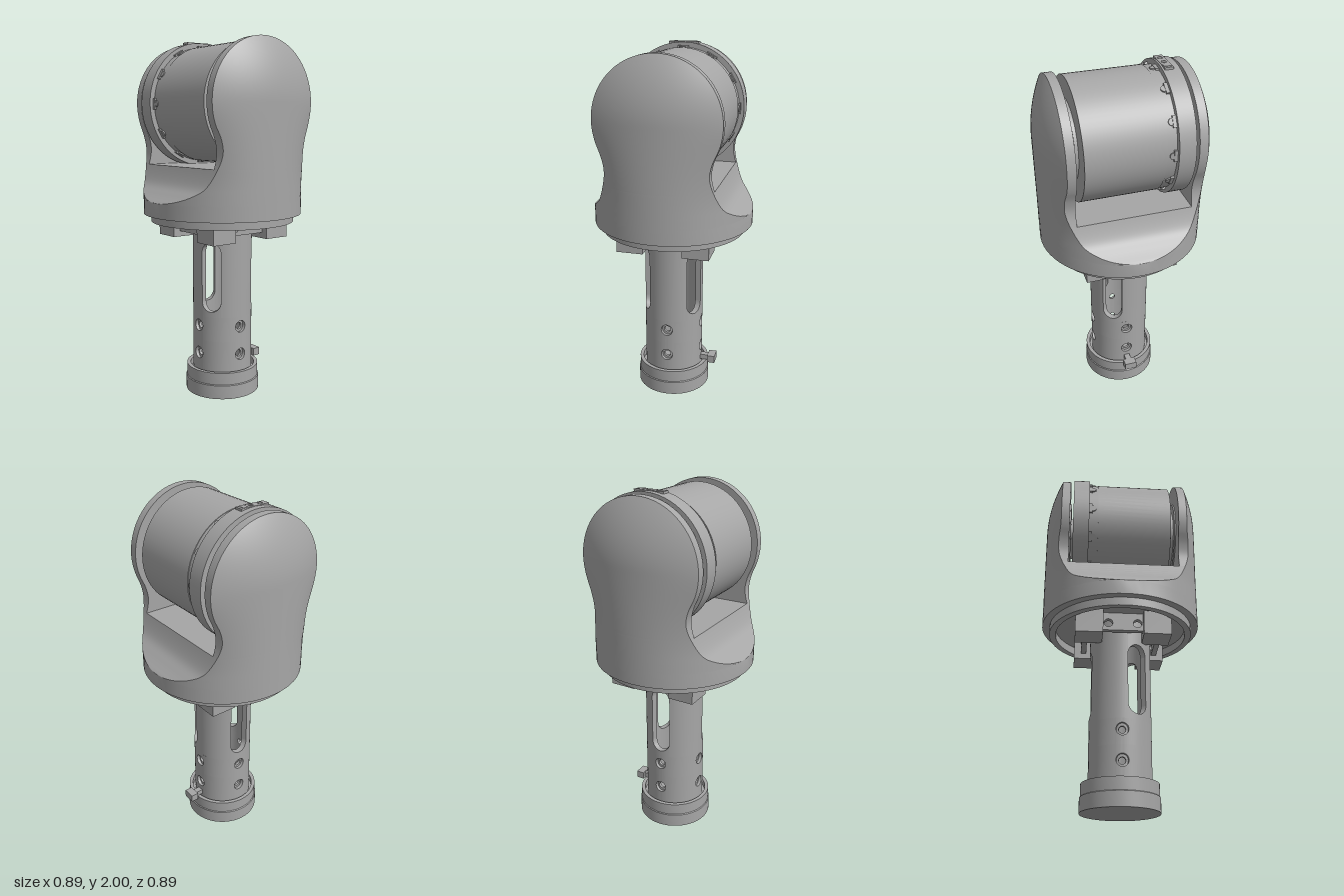
import * as THREE from 'three';
import { toCreasedNormals } from 'three/addons/utils/BufferGeometryUtils.js';

const grey = new THREE.MeshStandardMaterial({ color: 0xa6a6a6 });
grey.name = 'satin grey';

const V = (x, y, z) => new THREE.Vector3(x, y, z);
const HEAD_Y = 1.65, HEAD_R = 0.34, BODY_R = 0.447, GAP = 0.31;

function add(parent, name, geometry, x = 0, y = 0, z = 0) {
  const mesh = new THREE.Mesh(geometry, grey);
  mesh.name = name;
  mesh.position.set(x, y, z);
  parent.add(mesh);
  return mesh;
}

// Closed solid through convex cross-sections; winding is set from its volume
function loft(rings) {
  const tris = [];
  const n = rings[0].length, last = rings.length - 1;
  for (let i = 0; i < last; i++) {
    for (let j = 0; j < n; j++) {
      const k = (j + 1) % n;
      const a = rings[i][j], b = rings[i][k], c = rings[i + 1][k], d = rings[i + 1][j];
      tris.push([a, b, c], [a, c, d]);
    }
  }
  for (let j = 1; j < n - 1; j++) {
    tris.push([rings[0][0], rings[0][j + 1], rings[0][j]]);
    tris.push([rings[last][0], rings[last][j], rings[last][j + 1]]);
  }
  let volume = 0;
  for (const [a, b, c] of tris) volume += a.dot(V(0, 0, 0).crossVectors(b, c));
  const pts = [];
  for (const [a, b, c] of tris) {
    if (V(0, 0, 0).crossVectors(b.clone().sub(a), c.clone().sub(a)).length() < 1e-10) continue;
    if (volume > 0) pts.push(a, b, c); else pts.push(a, c, b);
  }
  return toCreasedNormals(new THREE.BufferGeometry().setFromPoints(pts), 0.6);
}

// Outer depth of the housing: round below, a shallow dome on the head
function depth(x, y) {
  const round = Math.sqrt(Math.max(0, BODY_R ** 2 - x * x));
  const up = Math.max(0, y - HEAD_Y);
  const dome = BODY_R - 0.09 * (x * x + up * up) / HEAD_R ** 2;
  return THREE.MathUtils.lerp(round, dome, THREE.MathUtils.smoothstep(y, 1.2, HEAD_Y));
}

// One curved face of the housing at a given height
function frontArc(w, y) {
  const pts = [];
  for (let i = 0; i <= 32; i++) {
    const x = w * Math.sin(Math.PI * (0.5 - i / 32));
    pts.push(V(x, y, depth(x, y)));
  }
  return pts;
}

function lathe(profile, segments = 64) {
  const g = new THREE.LatheGeometry(profile.map(p => new THREE.Vector2(...p)), segments);
  return toCreasedNormals(g, 0.6);
}

// Forked housing: flared foot, then two arms
function buildHousing(parent) {
  const spline = new THREE.SplineCurve([
    [BODY_R, 1.12], [0.385, 1.165], [0.335, 1.215], [0.295, 1.31],
    [0.278, 1.39], [0.289, 1.46], [0.315, 1.522]
  ].map(p => new THREE.Vector2(...p)));
  const side = spline.getPoints(36);
  const foot = [new THREE.Vector2(BODY_R, 1.04), ...side.slice(0, 19)];
  const arm = side.slice(18);
  const start = Math.atan2(-0.128, 0.315);
  for (let i = 1; i <= 40; i++) {
    const a = THREE.MathUtils.lerp(start, Math.PI / 2 - 0.01, i / 40);
    arm.push(new THREE.Vector2(HEAD_R * Math.cos(a), HEAD_Y + HEAD_R * Math.sin(a)));
  }
  add(parent, 'flaredFoot', loft(foot.map(p => {
    const f = frontArc(p.x, p.y);
    return [...f, ...f.map(v => V(-v.x, v.y, -v.z))];
  })));
  const armGeometry = loft(arm.map(p =>
    [...frontArc(p.x, p.y), V(-p.x, p.y, GAP), V(p.x, p.y, GAP)]));
  add(parent, 'frontArm', armGeometry);
  add(parent, 'backArm', armGeometry).rotation.y = Math.PI;
}

// Motor drum lying along z between the arms
function buildDrum(parent) {
  const drum = new THREE.Group();
  drum.name = 'drum';
  drum.position.y = HEAD_Y;
  parent.add(drum);
  const disc = (name, r, z0, z1) =>
    add(drum, name, new THREE.CylinderGeometry(r, r, z1 - z0, 72), 0, 0, (z0 + z1) / 2)
      .rotation.x = Math.PI / 2;
  disc('drumBody', 0.325, -0.148, 0.268);
  disc('drumCollar', 0.322, -0.2, -0.148);
  disc('drumFlange', 0.35, -0.29, -0.2);
  disc('frontBoss', 0.215, 0.268, 0.284);
  disc('frontNeck', 0.19, 0.284, 0.302);
  disc('frontWasher', 0.235, 0.302, 0.312);
  disc('backNeck', 0.12, -0.312, -0.29);
  disc('backWasher', 0.21, -0.312, -0.302);

  // Clips around the collar
  for (let i = 0; i < 12; i++) {
    const holder = new THREE.Group();
    holder.name = 'clip';
    holder.rotation.z = i * Math.PI / 6;
    drum.add(holder);
    add(holder, 'clipBlock', new THREE.BoxGeometry(0.06, 0.012, 0.018), 0, 0.325, -0.191);
    add(holder, 'clipTongue', new THREE.CylinderGeometry(0.018, 0.018, 0.012, 16), 0, 0.322, -0.178);
  }

  // Connector on top of the flange
  add(drum, 'connectorPlate', new THREE.BoxGeometry(0.17, 0.012, 0.046), -0.002, 0.346, -0.233);
  for (const x of [-0.05, 0.007]) {
    const ring = add(drum, 'connectorScrew', new THREE.TorusGeometry(0.012, 0.003, 8, 20), x, 0.351, -0.233);
    ring.rotation.x = Math.PI / 2;
  }
  add(drum, 'connectorSocket', new THREE.BoxGeometry(0.03, 0.006, 0.04), 0.053, 0.351, -0.233);
}

// Band of tube wall with evenly spaced rounded openings
function buildBand(parent, name, o) {
  const half = o.halfW / o.ro;
  const panel = (angles, lo, hi) => add(parent, name, loft(angles.map(a => {
    const s = Math.sin(a), c = Math.cos(a), y0 = lo(a), y1 = hi(a);
    return [V(o.ro * s, y0, o.ro * c), V(o.ro * s, y1, o.ro * c),
      V(o.ri * s, y1, o.ri * c), V(o.ri * s, y0, o.ri * c)];
  })));
  const step = 2 * Math.PI / o.count;
  for (let k = 0; k < o.count; k++) {
    const mid = o.phase + k * step;
    const across = [], between = [];
    for (let i = 0; i <= 16; i++) {
      across.push(mid + half * Math.sin(Math.PI * (i / 16 - 0.5)));
      between.push(mid + half + (step - 2 * half) * i / 16);
    }
    const h = a => o.halfL + o.halfW * Math.sqrt(Math.max(0, 1 - ((a - mid) / half) ** 2));
    panel(across, () => o.y0, a => o.cy - h(a));
    panel(across, a => o.cy + h(a), () => o.y1);
    panel(between, () => o.y0, () => o.y1);
  }
}

function buildStem(parent) {
  const stem = new THREE.Group();
  stem.name = 'stem';
  parent.add(stem);
  buildBand(stem, 'slottedTube', { ro: 0.17, ri: 0.138, y0: 0.46, y1: 1.04,
    count: 3, phase: Math.PI / 3, cy: 0.688, halfW: 0.058, halfL: 0.14 });
  // Two rows of stepped screw holes
  for (const [y0, y1, cy] of [[0.1, 0.32, 0.24], [0.32, 0.46, 0.402]]) {
    const common = { y0, y1, cy, count: 4, phase: 0, halfL: 0 };
    buildBand(stem, 'tubeOuterWall', { ...common, ro: 0.17, ri: 0.153, halfW: 0.034 });
    buildBand(stem, 'tubeInnerWall', { ...common, ro: 0.153, ri: 0.138, halfW: 0.019 });
  }
  // End cap with a rim, and its side tab
  add(stem, 'endCap', lathe([[0, 0], [0.212, 0], [0.212, 0.078], [0.207, 0.082], [0.207, 0.15],
    [0.186, 0.15], [0.186, 0.11], [0, 0.11]]));
  add(stem, 'tabNeck', new THREE.BoxGeometry(0.06, 0.03, 0.034), 0.19, 0.165, 0);
  add(stem, 'tabHead', new THREE.BoxGeometry(0.045, 0.044, 0.07), 0.237, 0.165, 0);
}

// Rim, blocks and drilled plates under the housing
function buildMount(parent) {
  const mount = new THREE.Group();
  mount.name = 'mount';
  parent.add(mount);
  add(mount, 'mountRim', lathe([[0.37, 1.04], [0.37, 0.995], [0.405, 0.995], [0.405, 1.04]]));
  const shape = new THREE.Shape();
  shape.moveTo(-0.115, 0.937).lineTo(0.115, 0.937).lineTo(0.115, 1.04).lineTo(-0.115, 1.04);
  for (const x of [-0.08, 0.08]) {
    shape.holes.push(new THREE.Path().absarc(x, 0.98, 0.024, 0, Math.PI * 2, true));
  }
  const plate = new THREE.ExtrudeGeometry(shape, { depth: 0.03, bevelEnabled: false });
  for (let i = 0; i < 4; i++) {
    const quarter = new THREE.Group();
    quarter.name = 'mountQuarter';
    quarter.rotation.y = i * Math.PI / 2;
    mount.add(quarter);
    add(quarter, 'mountBlock', new THREE.BoxGeometry(0.15, 0.135, 0.15), 0.185, 0.9725, 0.185);
    add(quarter, 'drilledPlate', plate, 0, 0, 0.19);
  }
}

export function createModel() {
  const model = new THREE.Group();
  model.name = 'forkedJoint';
  buildHousing(model);
  buildDrum(model);
  buildStem(model);
  buildMount(model);
  return model;
}
